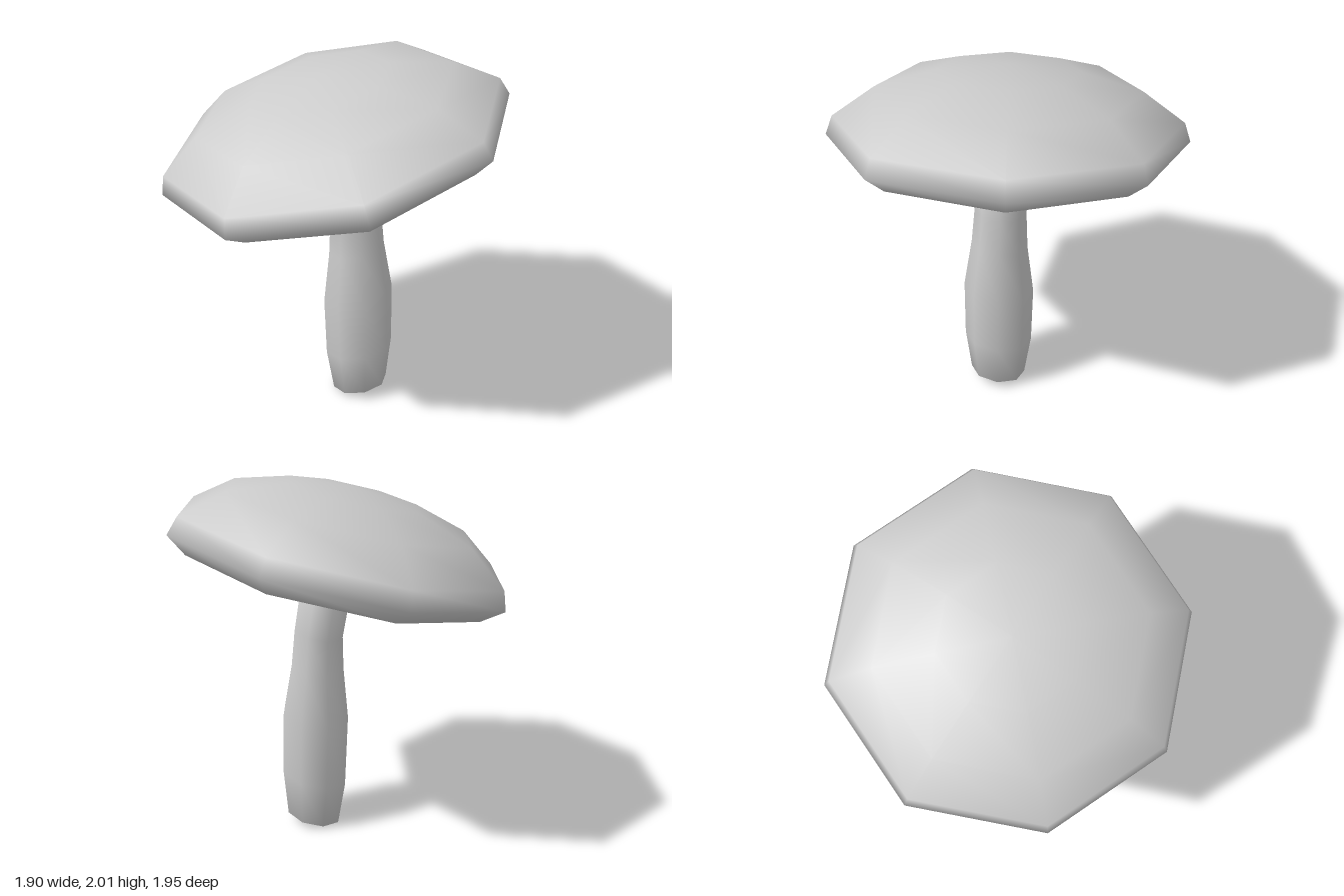
import * as THREE from 'three';
import { mergeVertices } from 'three/addons/utils/BufferGeometryUtils.js';

const SIDES = 8;
const material = new THREE.MeshStandardMaterial({ color: 0xcccccc });

// Weld the seam and poles so the low-poly form shades smoothly
function smooth(geometry) {
  geometry.deleteAttribute('normal');
  geometry.deleteAttribute('uv');
  const welded = mergeVertices(geometry, 1e-4);
  welded.computeVertexNormals();
  return welded;
}

// Broad shallow dome with a bevelled rim and flat underside
function createCap() {
  const profile = [
    [0, 0], [0.855, -0.005], [0.975, 0.086], [0.94, 0.19],
    [0.712, 0.356], [0.384, 0.457], [0, 0.495],
  ].map(([r, y]) => new THREE.Vector2(r, y));
  const cap = new THREE.Mesh(smooth(new THREE.LatheGeometry(profile, SIDES)), material);
  cap.name = 'cap';
  cap.position.set(0.015, 1.477, 0);
  cap.rotation.set(-0.015, 0, 0.235);
  return cap;
}

// Bulging stem: each slanted ring has its own centre and radius
function createStem() {
  const rings = [ // centre x, y, z, radius
    [0.125, 0.035, 0.055, 0],
    [0.125, 0.035, 0.055, 0.155],
    [0.118, 0.29, 0.052, 0.19],
    [0.11, 0.64, 0.048, 0.195],
    [0.10, 0.935, 0.043, 0.155],
    [0.095, 1.15, 0.037, 0.142],
    [0.045, 1.455, 0.03, 0.146],
    [0.045, 1.455, 0.03, 0],
  ];
  const profile = rings.map(([, y, , r]) => new THREE.Vector2(r, y));
  const geometry = new THREE.LatheGeometry(profile, SIDES);
  const position = geometry.attributes.position;
  for (let i = 0; i < position.count; i++) {
    const [cx, cy, cz] = rings[i % rings.length];
    const x = position.getX(i), z = position.getZ(i);
    position.setXYZ(i, cx + x, cy + 0.17 * x + 0.13 * z, cz + z);
  }
  const stem = new THREE.Mesh(smooth(geometry), material);
  stem.name = 'stem';
  return stem;
}

export function createModel() {
  const mushroom = new THREE.Group();
  mushroom.name = 'mushroom';
  mushroom.add(createStem(), createCap());
  return mushroom;
}
